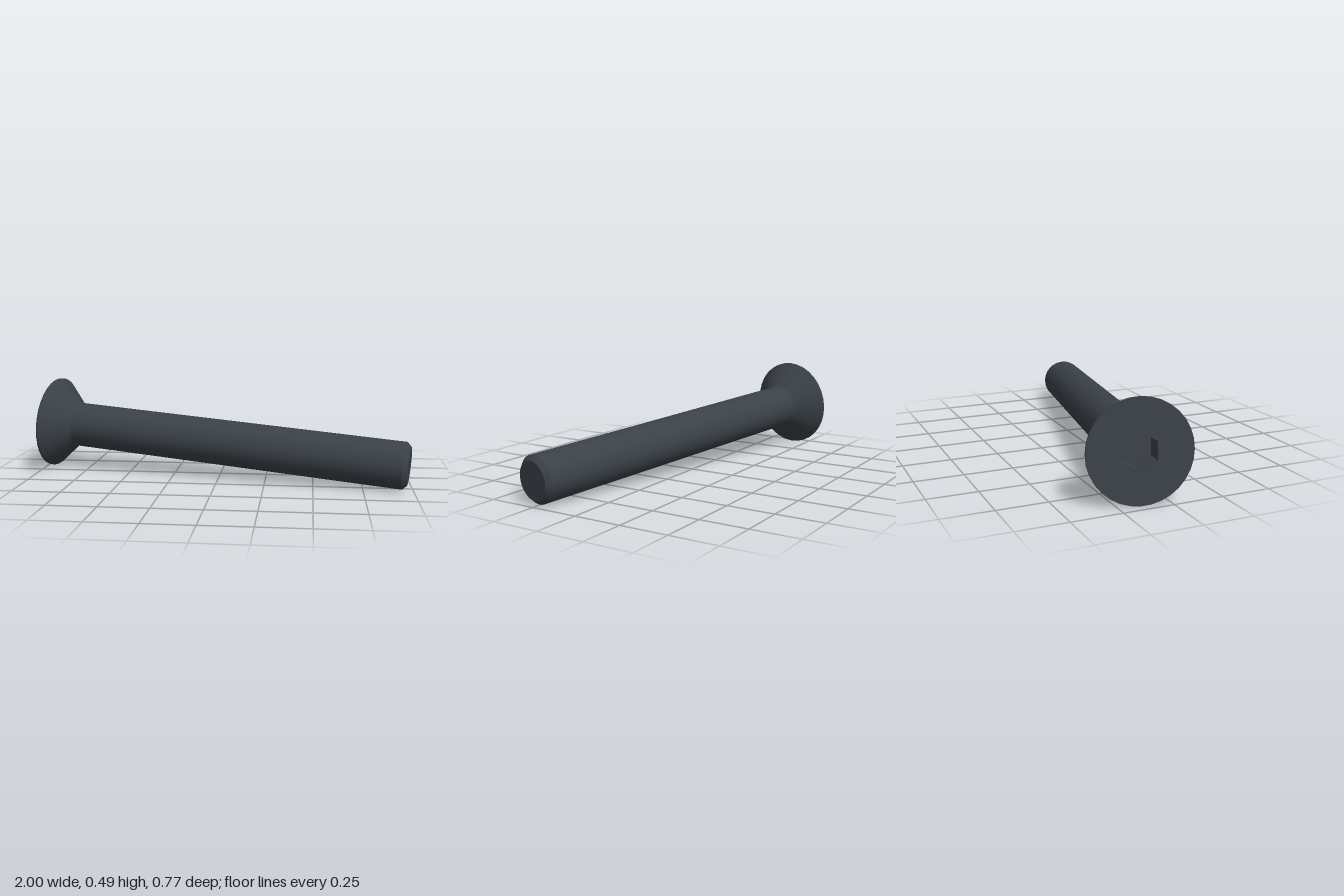
import * as THREE from 'three';

const SEG = 32;
const HEAD_R = 0.247, SHAFT_R = 0.121, TIP_R = 0.0985;
const RIM = 0.01, LENGTH = 1.972, CHAMFER = 0.0225;
const HEX_R = 0.09, HEX_DEPTH = 0.11;

// Points of a regular polygon, the first one straight up
function ring(radius, sides) {
  return Array.from({ length: sides }, (_, i) => {
    const a = (i / sides) * Math.PI * 2;
    return new THREE.Vector2(radius * Math.sin(a), radius * Math.cos(a));
  });
}

export function createModel() {
  const steel = new THREE.MeshStandardMaterial({ color: 0x3a4148 });
  steel.name = 'dark steel';

  const screw = new THREE.Group();
  screw.name = 'screw';
  const add = (name, geometry) => {
    const mesh = new THREE.Mesh(geometry, steel);
    mesh.name = name;
    screw.add(mesh);
  };
  // Turned surface about the screw's axis, from [radius, distance] pairs
  const turned = (name, pairs) =>
    add(name, new THREE.LatheGeometry(pairs.map(([r, y]) => new THREE.Vector2(r, y)), SEG));

  // Countersunk head running smoothly into the shaft
  const neck = RIM + HEAD_R - SHAFT_R;
  turned('headRim', [[HEAD_R, 0], [HEAD_R, RIM]]);
  turned('headConeAndShaft', [
    [HEAD_R, RIM],
    [SHAFT_R + 0.012, neck - 0.012],
    [SHAFT_R + 0.003, neck],
    [SHAFT_R, neck + 0.01],
    [SHAFT_R, neck + 0.02],
    [SHAFT_R, LENGTH - CHAMFER],
  ]);

  // Chamfered tip
  turned('tipChamfer', [[SHAFT_R, LENGTH - CHAMFER], [TIP_R, LENGTH]]);
  const tip = new THREE.ShapeGeometry(new THREE.Shape(ring(TIP_R, SEG)));
  add('tipFace', tip.rotateX(-Math.PI / 2).translate(0, LENGTH, 0));

  // Flat head face with a hexagonal opening
  const face = new THREE.Shape(ring(HEAD_R, SEG));
  face.holes.push(new THREE.Path(ring(HEX_R, 6)));
  add('headFace', new THREE.ShapeGeometry(face).rotateX(Math.PI / 2));

  // Socket walls, mirrored so that they face inwards, and floor
  const walls = new THREE.CylinderGeometry(HEX_R, HEX_R, HEX_DEPTH, 6, 1, true)
    .scale(-1, 1, 1).translate(0, HEX_DEPTH / 2, 0).toNonIndexed();
  walls.computeVertexNormals();
  add('socketWalls', walls);
  const floor = new THREE.ShapeGeometry(new THREE.Shape(ring(HEX_R, 6)));
  add('socketFloor', floor.rotateX(Math.PI / 2).translate(0, HEX_DEPTH, 0));

  // Lay the screw down: local y runs from head to tip, local z points up
  const axis = new THREE.Vector3(0.976, -0.0645, 0.2085).normalize();
  const side = new THREE.Vector3(-axis.z, 0, axis.x).normalize();
  const up = new THREE.Vector3().crossVectors(side, axis);
  screw.quaternion.setFromRotationMatrix(new THREE.Matrix4().makeBasis(side, axis, up));
  screw.position.set(-0.946, 0.247, -0.145);

  const model = new THREE.Group();
  model.name = 'countersunkScrew';
  model.add(screw);
  return model;
}
